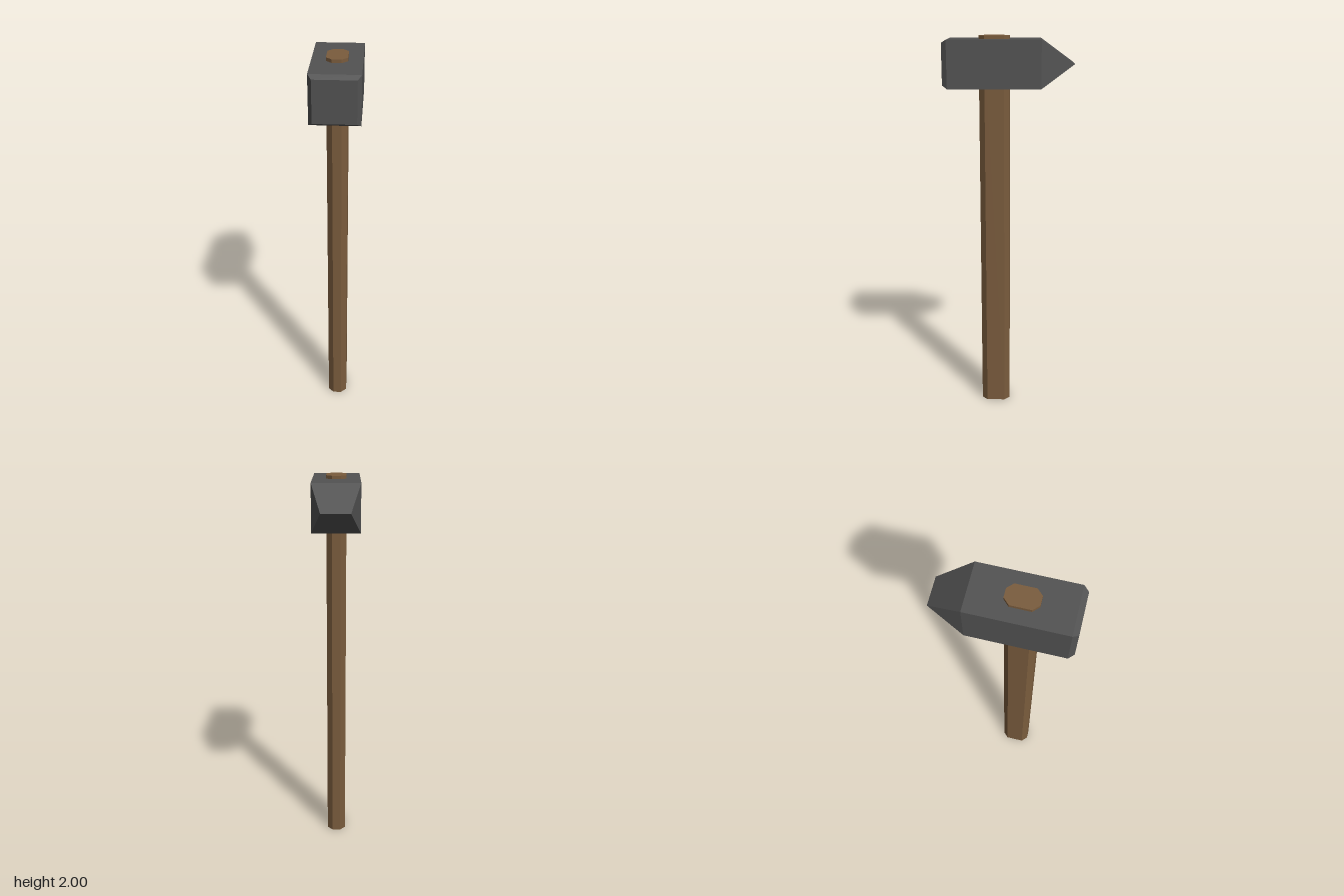
import * as THREE from 'three';
import { ConvexGeometry } from 'three/addons/geometries/ConvexGeometry.js';

const steel = new THREE.MeshStandardMaterial({ color: 0x525252 });
steel.name = 'dark steel';
const wood = new THREE.MeshStandardMaterial({ color: 0x7a5c3d });
wood.name = 'brown wood';

// Corners of a rectangle across the head at depth z
function section(halfWidth, halfHeight, z) {
  const corners = [];
  for (const sx of [-1, 1]) {
    for (const sy of halfHeight > 0 ? [-1, 1] : [0]) {
      corners.push(new THREE.Vector3(sx * halfWidth, sy * halfHeight, z));
    }
  }
  return corners;
}

// Head: bevelled striking face, square body, wedge-shaped peen
function createHead() {
  const geometry = new ConvexGeometry([
    ...section(0.1, 0.101, 0.325),
    ...section(0.118, 0.117, 0.3),
    ...section(0.118, 0.117, -0.16),
    ...section(0.07, 0, -0.325),
  ]);
  const head = new THREE.Mesh(geometry, steel);
  head.name = 'head';
  head.position.y = 1.867;
  return head;
}

// Handle: rectangle with cut corners, passing right through the head
function createHandle() {
  const w = 0.05, d = 0.0765, cut = 0.028;
  const outline = [
    [w - cut, -d], [w, -d + cut], [w, d - cut], [w - cut, d],
    [-w + cut, d], [-w, d - cut], [-w, -d + cut], [-w + cut, -d],
  ].map(([x, y]) => new THREE.Vector2(x, y));
  const geometry = new THREE.ExtrudeGeometry(new THREE.Shape(outline), { depth: 2, bevelEnabled: false });
  geometry.rotateX(-Math.PI / 2);
  const handle = new THREE.Mesh(geometry, wood);
  handle.name = 'handle';
  handle.position.z = 0.0715;
  return handle;
}

export function createModel() {
  const hammer = new THREE.Group();
  hammer.name = 'hammer';
  hammer.add(createHead(), createHandle());
  return hammer;
}
